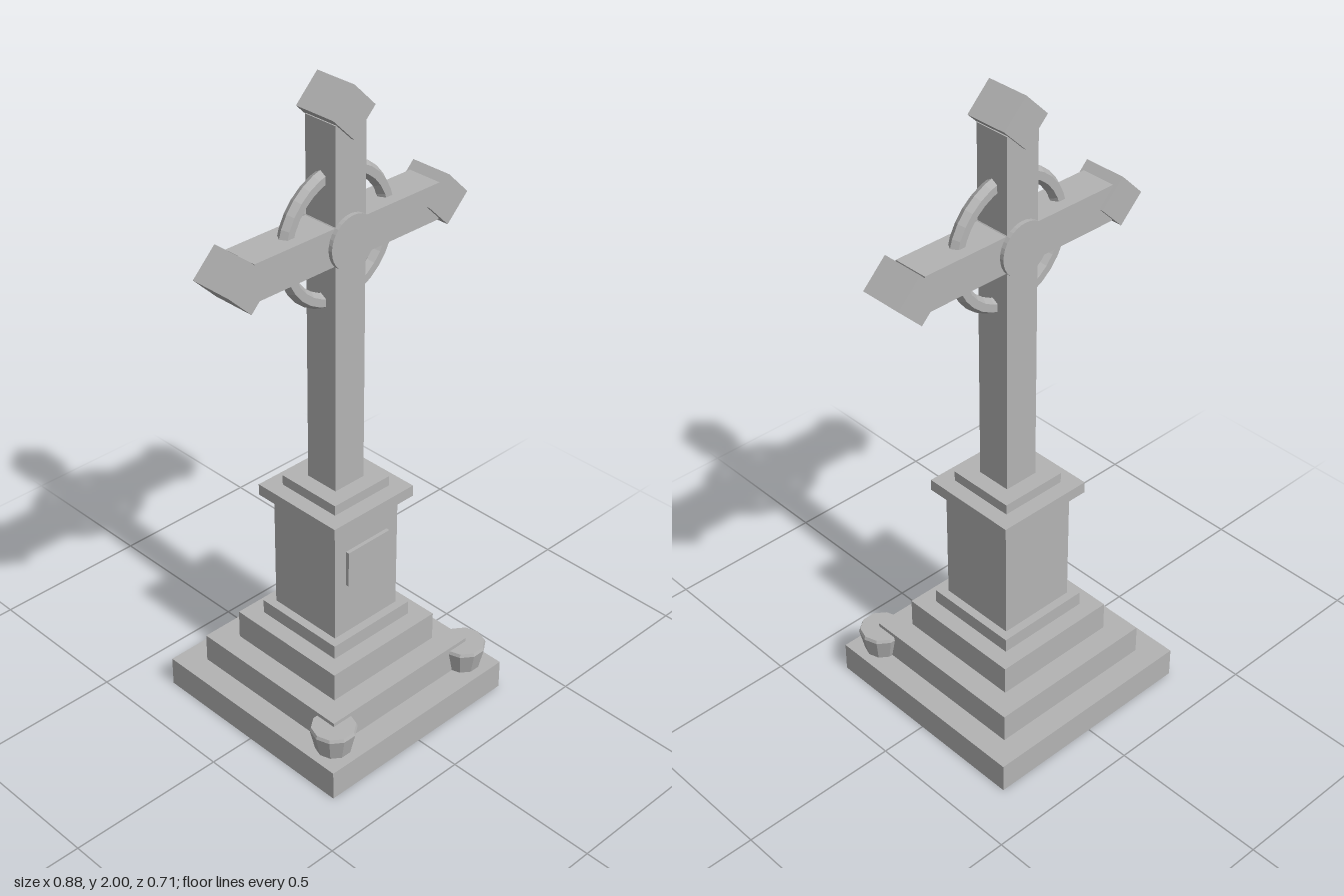
import * as THREE from 'three';

export function createModel() {
  const model = new THREE.Group();
  model.name = 'stoneCross';
  const stone = new THREE.MeshStandardMaterial({ color: 0xb3b3b3, flatShading: true });
  stone.name = 'grey stone';

  const add = (name, geometry, x = 0, y = 0, z = 0) => {
    const mesh = new THREE.Mesh(geometry, stone);
    mesh.name = name;
    mesh.position.set(x, y, z);
    model.add(mesh);
    return mesh;
  };

  // Square blocks stacked from the ground: name, half width, bottom, top
  const blocks = [
    ['baseSlab', 0.354, 0, 0.095],
    ['middleStep', 0.278, 0.095, 0.187],
    ['upperStep', 0.206, 0.187, 0.28],
    ['pedestalFoot', 0.153, 0.28, 0.325],
    ['pedestal', 0.126, 0.325, 0.71],
    ['pedestalCap', 0.157, 0.71, 0.746],
    ['shaftFoot', 0.108, 0.746, 0.778],
    ['shaft', 0.056, 0.778, 1.9],
  ];
  for (const [name, half, bottom, top] of blocks) {
    add(name, new THREE.BoxGeometry(half * 2, top - bottom, half * 2), 0, (bottom + top) / 2);
  }

  // Plaque on the front of the pedestal
  add('plaque', new THREE.BoxGeometry(0.165, 0.118, 0.024), 0, 0.557, 0.126);

  // Cross arms, ring and round boss
  const centreY = 1.555;
  add('crossArms', new THREE.BoxGeometry(0.68, 0.112, 0.112), 0, centreY);
  add('ring', new THREE.TorusGeometry(0.19, 0.023, 6, 32), 0, centreY);
  add('boss', new THREE.CylinderGeometry(0.081, 0.081, 0.138, 32), 0, centreY).rotation.x = Math.PI / 2;

  // Diamond ends: square blocks turned 45 degrees
  const side = 0.076 * Math.SQRT2;
  for (const [name, x, y] of [['topDiamond', 0, 1.924], ['leftDiamond', 0.365, centreY], ['rightDiamond', -0.365, centreY]]) {
    add(name, new THREE.BoxGeometry(side, side, 0.136), x, y).rotation.z = Math.PI / 4;
  }

  // Ten-sided flower pots at the two front corners
  const potProfile = [[0, 0], [0.054, 0], [0.07, 0.07], [0.066, 0.08], [0, 0.08]]
    .map(([r, y]) => new THREE.Vector2(r, y));
  for (const s of [-1, 1]) {
    add(s > 0 ? 'leftPot' : 'rightPot', new THREE.LatheGeometry(potProfile, 10, Math.PI / 2), s * 0.273, 0.095, 0.272);
  }

  return model;
}
